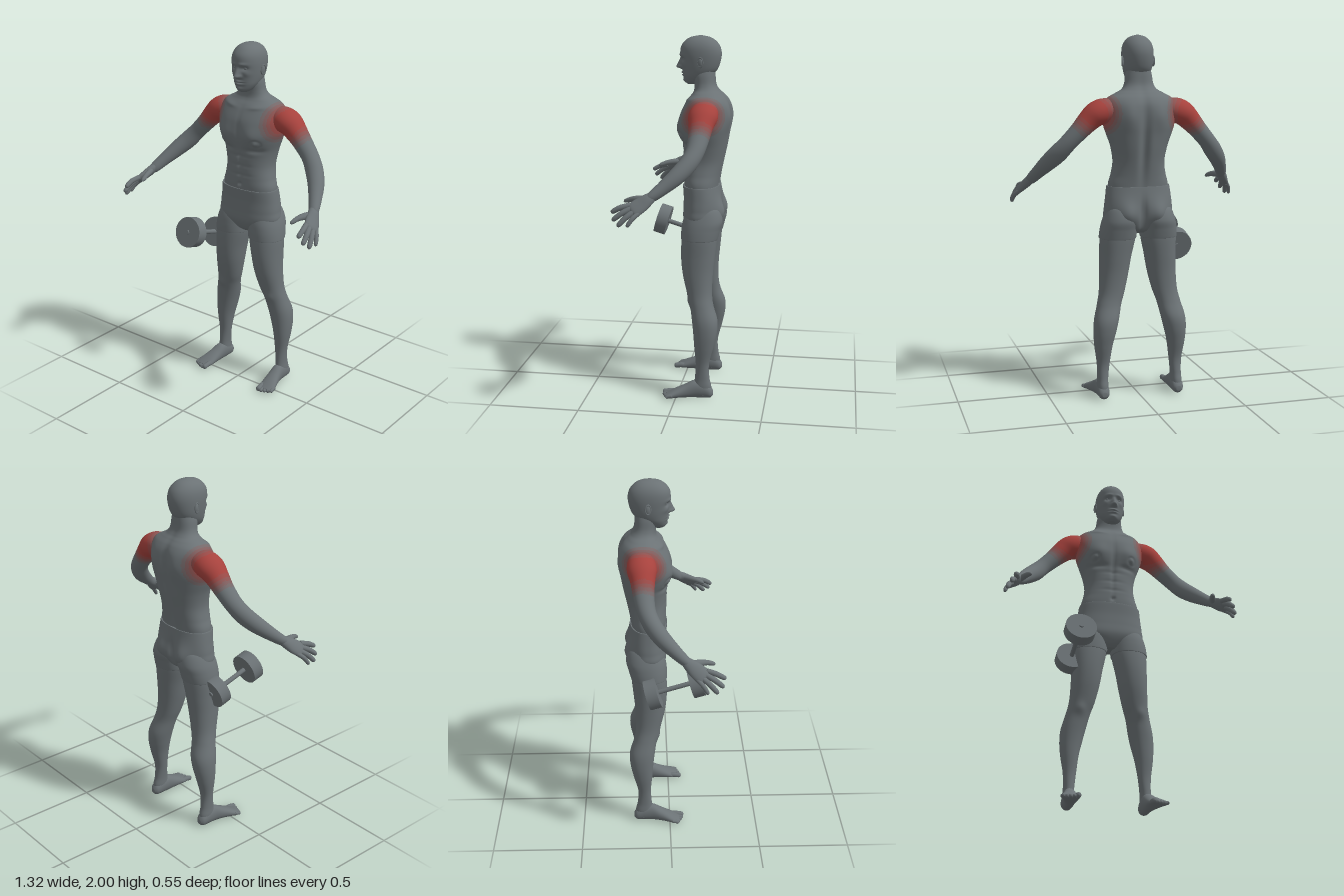
import * as THREE from 'three';

const V = (x, y, z) => new THREE.Vector3(x, y, z);
const bell = (d, s) => Math.exp(-(d / s) * (d / s));
const mat = (name, color) => Object.assign(new THREE.MeshStandardMaterial({ color }), { name });

// Catmull-Rom interpolation of every column of a table of cross-sections
function sample(rows, n) {
  const out = [];
  for (let k = 0; k <= n; k++) {
    const f = (k / n) * (rows.length - 1), i = Math.min(Math.floor(f), rows.length - 2), t = f - i;
    const a = rows[Math.max(i - 1, 0)], b = rows[i], c = rows[i + 1], d = rows[Math.min(i + 2, rows.length - 1)];
    out.push(b.map((q, j) => {
      const cubic = 3 * (q - c[j]) + d[j] - a[j];
      const square = 2 * a[j] - 5 * q + 4 * c[j] - d[j];
      return q + 0.5 * t * (c[j] - a[j] + t * (square + t * cubic));
    }));
  }
  return out;
}

// Closed skin over a list of rings; bandOf sorts the faces into colour groups
function skin(rings, bandOf) {
  const seg = rings[0].length, n = rings.length, pts = rings.flat(), faces = [];
  for (let r = 0; r < n - 1; r++) for (let i = 0; i < seg; i++) {
    const a = r * seg + i, b = r * seg + (i + 1) % seg;
    faces.push([a, a + seg, b], [b, a + seg, b + seg]);
  }
  const centre = ring => ring.reduce((s, p) => s.add(p), V(0, 0, 0)).divideScalar(seg);
  const c0 = pts.length, last = (n - 1) * seg;
  pts.push(centre(rings[0]), centre(rings[n - 1]));
  for (let i = 0; i < seg; i++) {
    const j = (i + 1) % seg;
    faces.push([c0, i, j], [c0 + 1, last + j, last + i]);
  }
  const geo = new THREE.BufferGeometry().setFromPoints(pts);
  if (bandOf) {
    const bands = [[], [], [], [], [], []];
    for (const f of faces) {
      const middle = V(0, 0, 0);
      f.forEach(i => middle.addScaledVector(pts[i], 1 / 3));
      bands[bandOf(middle)].push(...f);
    }
    geo.setIndex(bands.flat());
    let start = 0;
    bands.forEach((b, i) => { geo.addGroup(start, b.length, i); start += b.length; });
  } else geo.setIndex(faces.flat());
  geo.computeVertexNormals();
  return geo;
}

// Rows are [t, centreX, halfWidth, front/top, back/bottom], t running up y or back along z
function loft(rows, { n = 60, seg = 48, power = 2.15, alongZ = false, shape, bandOf } = {}) {
  const pow = v => Math.sign(v) * Math.abs(v) ** (2 / power);
  const ring = ([t, c, w, hi, lo]) => Array.from({ length: seg }, (_, i) => {
    const a = (i / seg) * Math.PI * 2, s = Math.sin(a);
    const u = c + w * pow(Math.cos(a)), v = (hi + lo) / 2 + (hi - lo) / 2 * pow(s);
    const p = alongZ ? V(u, v, t) : V(u, t, v);
    if (shape) p.z += shape(p.x, p.y, s > 0) * Math.min(1, Math.abs(s) * 2);
    return p;
  });
  return skin(sample(rows, n).map(ring), bandOf);
}

// Limb along a path; rows are [x, y, z, radius, depth radius]
function limb(rows, { n = 18, seg = 14, ref = V(0, 0, 1), round = true, bandOf } = {}) {
  const path = sample(rows, n), at = i => V(...path[Math.max(0, Math.min(n, i))].slice(0, 3));
  const ring = (r, i) => {
    const T = at(i + 1).sub(at(i - 1)).normalize(), A = T.clone().cross(ref).normalize(), B = A.clone().cross(T);
    const e = Math.max(0, (i / n - 0.8) / 0.2), k = round ? Math.sqrt(Math.max(0.01, 1 - e * e)) : 1;
    return Array.from({ length: seg }, (_, j) => {
      const a = (j / seg) * Math.PI * 2;
      return at(i).addScaledVector(A, Math.cos(a) * r[3] * k).addScaledVector(B, Math.sin(a) * r[4] * k);
    });
  };
  return skin(path.map(ring), bandOf);
}

function mirrored(geo) {
  const m = geo.clone().scale(-1, 1, 1), ix = m.index.array;
  for (let i = 0; i < ix.length; i += 3) [ix[i + 1], ix[i + 2]] = [ix[i + 2], ix[i + 1]];
  return m;
}

// Chest, stomach and back relief
function torsoShape(x, y, front) {
  const ax = Math.abs(x), nipple = Math.hypot(ax - 0.11, y - 1.465);
  if (!front) return 0.022 * bell(x, 0.024) * bell(y - 1.42, 0.22) - 0.014 * bell(ax - 0.085, 0.045) * bell(y - 1.57, 0.07);
  let d = 0.019 * bell(ax - 0.09, 0.06) * bell(y - 1.5, 0.06) - 0.01 * bell(ax - 0.09, 0.05) * bell(y - 1.42, 0.014);
  d -= 0.008 * bell(x, 0.012) * bell(y - 1.42, 0.17) + 0.012 * bell(x, 0.01) * bell(y - 1.215, 0.012);
  for (const h of [1.27, 1.325, 1.38]) d -= 0.004 * bell(y - h, 0.009) * bell(ax, 0.06);
  d += 0.007 * bell(nipple, 0.009) - 0.004 * bell(nipple - 0.022, 0.006);
  return d + 0.007 * bell(y - 1.65 - 0.1 * ax, 0.012) * bell(ax - 0.09, 0.05);
}

// Buttocks and the cleft between them
function pelvisShape(x, y, front) {
  if (front) return 0;
  return 0.02 * bell(x, 0.014) * bell(y - 1.03, 0.08) - 0.035 * bell(Math.abs(x) - 0.09, 0.06) * bell(y - 1.04, 0.065);
}

// Brow, eye sockets, nose, lips and chin
function faceShape(x, y, front) {
  if (!front) return 0;
  const ax = Math.abs(x), nose = Math.max(0, Math.min(1, (1.885 - y) / 0.05));
  const under = y < 1.828 ? bell(y - 1.828, 0.008) : 1;
  let d = 0.032 * nose * under * bell(x, 0.009 + 0.006 * nose);
  d += 0.008 * bell(ax - 0.014, 0.007) * bell(y - 1.831, 0.008);
  d -= 0.014 * bell(ax - 0.034, 0.018) * bell(y - 1.874, 0.012);
  d += 0.006 * bell(ax - 0.03, 0.022) * bell(y - 1.896, 0.009) + 0.005 * bell(ax - 0.05, 0.016) * bell(y - 1.845, 0.016);
  d += 0.009 * bell(x, 0.022) * (bell(y - 1.801, 0.006) + bell(y - 1.786, 0.006)) - 0.004 * bell(x, 0.026) * bell(y - 1.794, 0.003);
  return d + 0.006 * bell(x, 0.02) * bell(y - 1.76, 0.01);
}

// Shoulder highlight fades outwards in bands
function shoulderBand(p) {
  const d = Math.hypot((Math.abs(p.x) - 0.255) / 0.125, (p.y - 1.585) / 0.12, (p.z + 0.14) / 0.22);
  return [0.62, 0.75, 0.88, 1.01, 1.16].filter(limit => d > limit).length;
}

export function createModel() {
  const model = new THREE.Group();
  model.name = 'figureWithDumbbell';
  const grey = mat('grey', 0x6b7275);
  const bands = [mat('red', 0xa6423d), mat('softRed', 0x9a4b48), mat('dullRed', 0x8d5553),
    mat('paleRed', 0x805f5f), mat('reddishGrey', 0x75696a), grey];
  const add = (name, geo, m = grey, parent = model) => {
    const mesh = new THREE.Mesh(geo, m);
    mesh.name = name;
    parent.add(mesh);
    return mesh;
  };
  const pair = (name, geo, m) => {
    add('left' + name, geo, m);
    add('right' + name, mirrored(geo), m);
  };

  // Torso and neck
  add('torso', loft([
    [1.1, 0, 0.162, -0.03, -0.2], [1.19, 0, 0.168, -0.017, -0.21], [1.25, 0, 0.153, -0.014, -0.22],
    [1.32, 0, 0.143, -0.012, -0.235], [1.4, 0, 0.156, -0.008, -0.252], [1.47, 0, 0.18, 0.005, -0.263],
    [1.52, 0, 0.196, 0.009, -0.268], [1.58, 0, 0.202, 0.003, -0.268], [1.63, 0, 0.196, -0.018, -0.262],
    [1.665, 0, 0.177, -0.04, -0.245], [1.69, 0, 0.134, -0.06, -0.222], [1.71, 0, 0.098, -0.068, -0.203],
    [1.74, 0, 0.08, -0.068, -0.188], [1.79, 0, 0.072, -0.06, -0.183], [1.84, 0, 0.06, -0.06, -0.18],
  ], { n: 150, seg: 128, power: 2.25, shape: torsoShape, bandOf: shoulderBand }), bands);

  // Head, eyes and ears
  add('head', loft([
    [1.738, 0, 0.022, -0.03, -0.08], [1.752, 0, 0.043, -0.014, -0.115], [1.78, 0, 0.063, -0.008, -0.15],
    [1.81, 0, 0.074, -0.003, -0.188], [1.85, 0, 0.081, 0.002, -0.207], [1.9, 0, 0.084, 0.01, -0.216],
    [1.94, 0, 0.079, 0.006, -0.208], [1.97, 0, 0.064, -0.015, -0.186], [1.99, 0, 0.04, -0.045, -0.155],
    [2.0, 0, 0.008, -0.09, -0.11],
  ], { n: 110, seg: 88, shape: faceShape }));
  pair('Eye', new THREE.SphereGeometry(0.013, 20, 14).translate(0.034, 1.874, -0.024));
  pair('Ear', new THREE.SphereGeometry(1, 20, 14).scale(0.008, 0.026, 0.016).rotateY(-0.3).translate(0.083, 1.857, -0.108));
  pair('EarRim', new THREE.TorusGeometry(0.018, 0.0035, 8, 24).scale(0.85, 1.4, 1).rotateY(1.3).translate(0.087, 1.86, -0.11));

  // Arms
  pair('Arm', limb([
    [0.11, 1.605, -0.15, 0.035, 0.045], [0.165, 1.602, -0.15, 0.06, 0.068], [0.205, 1.594, -0.147, 0.069, 0.077], [0.245, 1.578, -0.145, 0.067, 0.077],
    [0.285, 1.543, -0.142, 0.06, 0.065], [0.335, 1.49, -0.138, 0.051, 0.056], [0.395, 1.425, -0.125, 0.047, 0.049],
    [0.443, 1.368, -0.095, 0.05, 0.047], [0.49, 1.314, -0.045, 0.045, 0.044], [0.53, 1.26, 0.018, 0.036, 0.035],
    [0.558, 1.219, 0.07, 0.03, 0.027], [0.57, 1.204, 0.092, 0.022, 0.018],
  ], { n: 84, seg: 40, round: false, bandOf: shoulderBand }), bands);

  // Hands
  const spread = V(0.42, -0.5, -0.76), palmNormal = V(0.4, -0.52, 0.75).cross(spread).normalize();
  pair('Palm', limb([
    [0.55, 1.232, 0.054, 0.021, 0.019], [0.568, 1.207, 0.088, 0.033, 0.025], [0.586, 1.182, 0.122, 0.042, 0.022],
    [0.603, 1.16, 0.155, 0.044, 0.018], [0.611, 1.147, 0.174, 0.038, 0.014],
  ], { ref: palmNormal, seg: 24 }));
  [[0.602, 1.14, 0.275], [0.626, 1.103, 0.265], [0.645, 1.077, 0.235], [0.652, 1.078, 0.185]].forEach((tip, i) => {
    const root = V(0.6, 1.162, 0.152).addScaledVector(spread, (i - 1.5) * 0.022);
    const mid = root.clone().lerp(V(...tip), 0.5).add(V(0.006, 0.006, 0.003)), r = i === 3 ? 0.012 : 0.0145;
    pair('Finger' + (i + 1), limb([[...root.toArray(), r, r], [...mid.toArray(), r, r], [...tip, r * 0.85, r * 0.85]], { ref: palmNormal }));
  });
  pair('Thumb', limb([[0.567, 1.205, 0.092, 0.018, 0.017], [0.548, 1.203, 0.137, 0.019, 0.017], [0.532, 1.198, 0.18, 0.014, 0.014],
    [0.519, 1.182, 0.225, 0.011, 0.011]], { ref: palmNormal }));

  // Legs
  const kneeShape = (x, y, front) => front ? 0.01 * bell(x - 0.17, 0.03) * bell(y - 0.545, 0.03) : 0;
  pair('Leg', loft([
    [0.02, 0.215, 0.03, -0.105, -0.195], [0.07, 0.215, 0.031, -0.1, -0.197], [0.12, 0.213, 0.03, -0.105, -0.186],
    [0.2, 0.21, 0.036, -0.109, -0.183], [0.3, 0.21, 0.05, -0.1, -0.208], [0.38, 0.203, 0.062, -0.093, -0.225],
    [0.45, 0.192, 0.068, -0.084, -0.226], [0.53, 0.172, 0.067, -0.071, -0.2], [0.6, 0.153, 0.071, -0.05, -0.19],
    [0.7, 0.138, 0.08, -0.025, -0.192], [0.8, 0.128, 0.088, -0.014, -0.202], [0.9, 0.117, 0.098, -0.017, -0.212],
    [0.95, 0.113, 0.09, -0.03, -0.21],
  ], { n: 90, shape: kneeShape }));

  // Shorts: pelvis and two legs with hems
  add('shortsPelvis', loft([
    [0.925, 0, 0.05, -0.06, -0.16], [0.95, 0, 0.11, -0.035, -0.195], [1.0, 0, 0.19, -0.013, -0.215],
    [1.06, 0, 0.192, -0.013, -0.22], [1.12, 0, 0.185, -0.014, -0.222], [1.18, 0, 0.177, -0.01, -0.216], [1.185, 0, 0.174, -0.012, -0.214],
  ], { power: 2.3, n: 54, seg: 96, shape: pelvisShape }));
  pair('ShortsLeg', loft([
    [0.898, 0.117, 0.1, -0.014, -0.214], [0.903, 0.117, 0.103, -0.012, -0.217], [0.95, 0.113, 0.102, -0.014, -0.229],
    [1.0, 0.106, 0.098, -0.022, -0.24], [1.06, 0.098, 0.082, -0.045, -0.225], [1.1, 0.09, 0.06, -0.07, -0.19],
  ]));

  // Feet and toes
  pair('Foot', loft([
    [0.056, 0.24, 0.04, 0.024, 0.006], [0.03, 0.238, 0.05, 0.037, 0], [0, 0.232, 0.048, 0.052, 0], [-0.05, 0.223, 0.041, 0.076, 0],
    [-0.1, 0.217, 0.036, 0.1, 0], [-0.15, 0.215, 0.034, 0.095, 0], [-0.19, 0.215, 0.03, 0.07, 0.003], [-0.207, 0.215, 0.014, 0.045, 0.018],
  ], { alongZ: true, n: 40, power: 2.1 }));
  [0.08, 0.078, 0.07, 0.061, 0.05].forEach((tip, i) => {
    const x = 0.203 + i * 0.019, r = i ? 0.0105 : 0.015;
    pair('Toe' + (i + 1), limb([[x, 0.022, 0.015, r, r], [x, r + 0.007, 0.04, r, r], [x + 0.002, r, tip, r, r]], { ref: V(0, 1, 0) }));
  });

  // Dumbbell tilted beside the right thigh
  const dumbbell = new THREE.Group();
  dumbbell.name = 'dumbbell';
  dumbbell.position.set(-0.225, 0.882, 0.026);
  dumbbell.rotation.x = 1.277;
  model.add(dumbbell);
  add('dumbbellBar', new THREE.CylinderGeometry(0.013, 0.013, 0.33, 24), grey, dumbbell);
  for (const s of [-1, 1]) add('dumbbellWeight', new THREE.CylinderGeometry(0.086, 0.086, 0.065, 48), grey, dumbbell).position.y = s * 0.125;
  return model;
}
